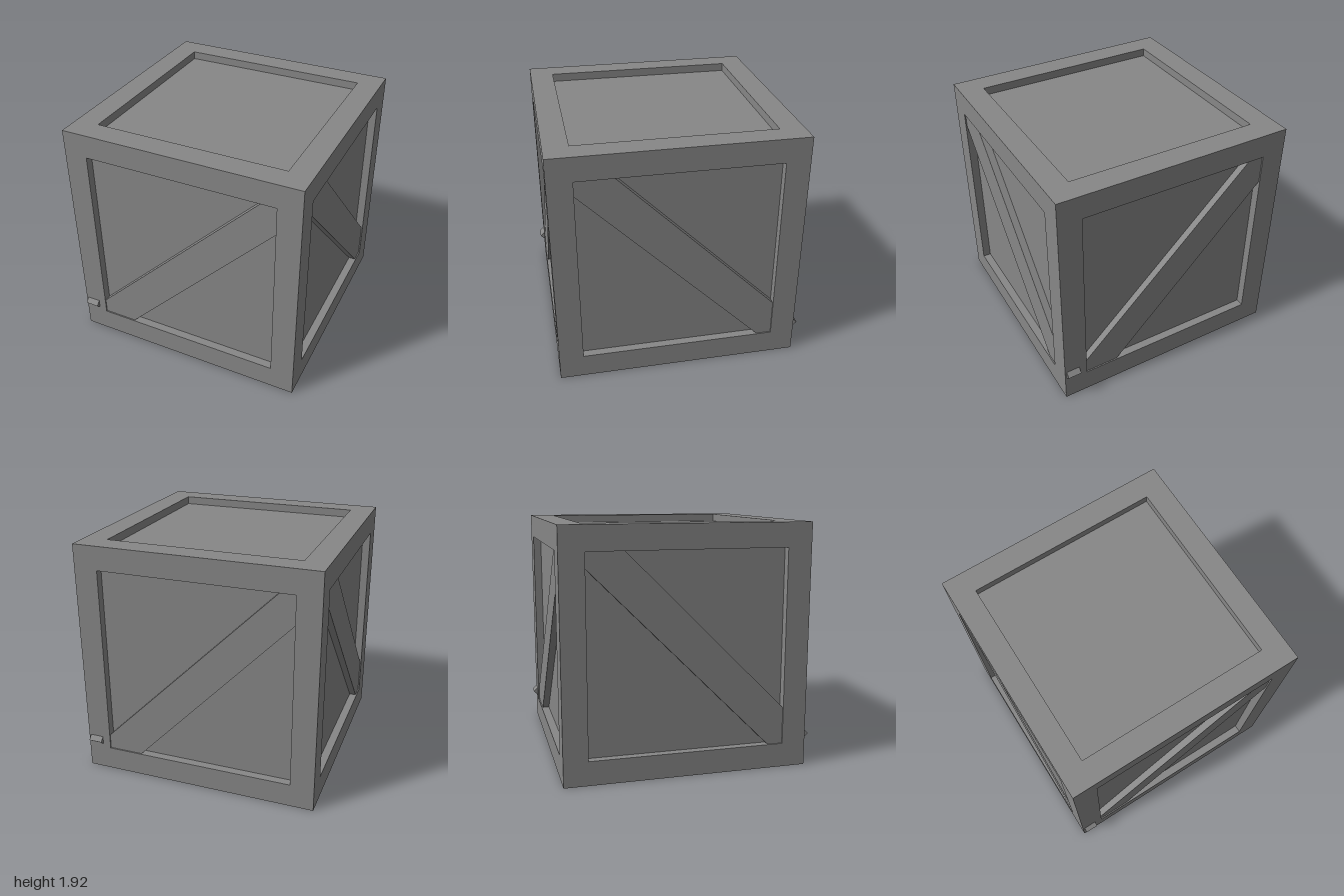
import * as THREE from 'three';

const H = 0.96;        // half size of the crate
const INNER = 0.77;    // half size of each panel opening
const BEAM = H - INNER;
const RECESS = 0.065;  // depth of the panels behind the frame
const material = new THREE.MeshStandardMaterial({ color: 0x878787, flatShading: true });

function addBox(parent, name, size, pos) {
  const mesh = new THREE.Mesh(new THREE.BoxGeometry(...size), material);
  mesh.name = name;
  mesh.position.set(...pos);
  parent.add(mesh);
  return mesh;
}

// Diagonal plank lying in the recess of a side, outline in face coordinates
function addBrace(side, outline) {
  const shape = new THREE.Shape(outline.map(([x, y]) => new THREE.Vector2(x, y)));
  const depth = RECESS - 0.01;
  const geometry = new THREE.ExtrudeGeometry(shape, { depth, bevelEnabled: false });
  const mesh = new THREE.Mesh(geometry, material);
  mesh.name = 'diagonalBrace';
  mesh.position.z = H - RECESS;
  side.add(mesh);
}

// Small wedge-shaped catch, open on its underside
function addCatch(side) {
  const mesh = addBox(side, 'catch', [0.11, 0.05, 0.05], [-0.89, 0.25, H]);
  mesh.rotation.x = Math.PI / 4;
  mesh.geometry.setIndex([...mesh.geometry.index.array.slice(0, 24)]);
  mesh.geometry.clearGroups();
}

export function createModel() {
  const model = new THREE.Group();
  model.name = 'crate';
  const body = new THREE.Group();
  body.name = 'crateBody';
  body.rotation.y = 0.005;
  model.add(body);

  // Recessed panels on all six sides
  const core = 2 * (H - RECESS);
  addBox(body, 'panels', [core, core, core], [0, H, 0]);

  // Frame: corner posts with rails between them
  const mid = (H + INNER) / 2;
  const span = 2 * INNER;
  for (const a of [-1, 1]) {
    for (const b of [-1, 1]) {
      addBox(body, 'cornerPost', [BEAM, 2 * H, BEAM], [a * mid, H, b * mid]);
      addBox(body, 'crossRail', [span, BEAM, BEAM], [0, H + a * mid, b * mid]);
      addBox(body, 'sideRail', [BEAM, BEAM, span], [a * mid, H + b * mid, 0]);
    }
  }

  // Braces rise on front and back, fall on the two other sides
  const lo = H - INNER, hi = H + INNER;
  const rising = [[-INNER, lo], [-0.49, lo], [INNER, 1.5], [INNER, hi], [0.65, hi], [-INNER, 0.31]];
  const falling = [[-INNER, hi], [-INNER, 1.61], [0.65, lo], [INNER, lo], [INNER, 0.48], [-0.48, hi]];
  ['front', 'right', 'back', 'left'].forEach((direction, i) => {
    const side = new THREE.Group();
    // The model's own left is +x
    side.name = ['frontSide', 'leftSide', 'backSide', 'rightSide'][i];
    side.rotation.y = i * Math.PI / 2;
    body.add(side);
    addBrace(side, i % 2 ? falling : rising);
    if (i % 2 === 0) addCatch(side);
  });
  return model;
}
